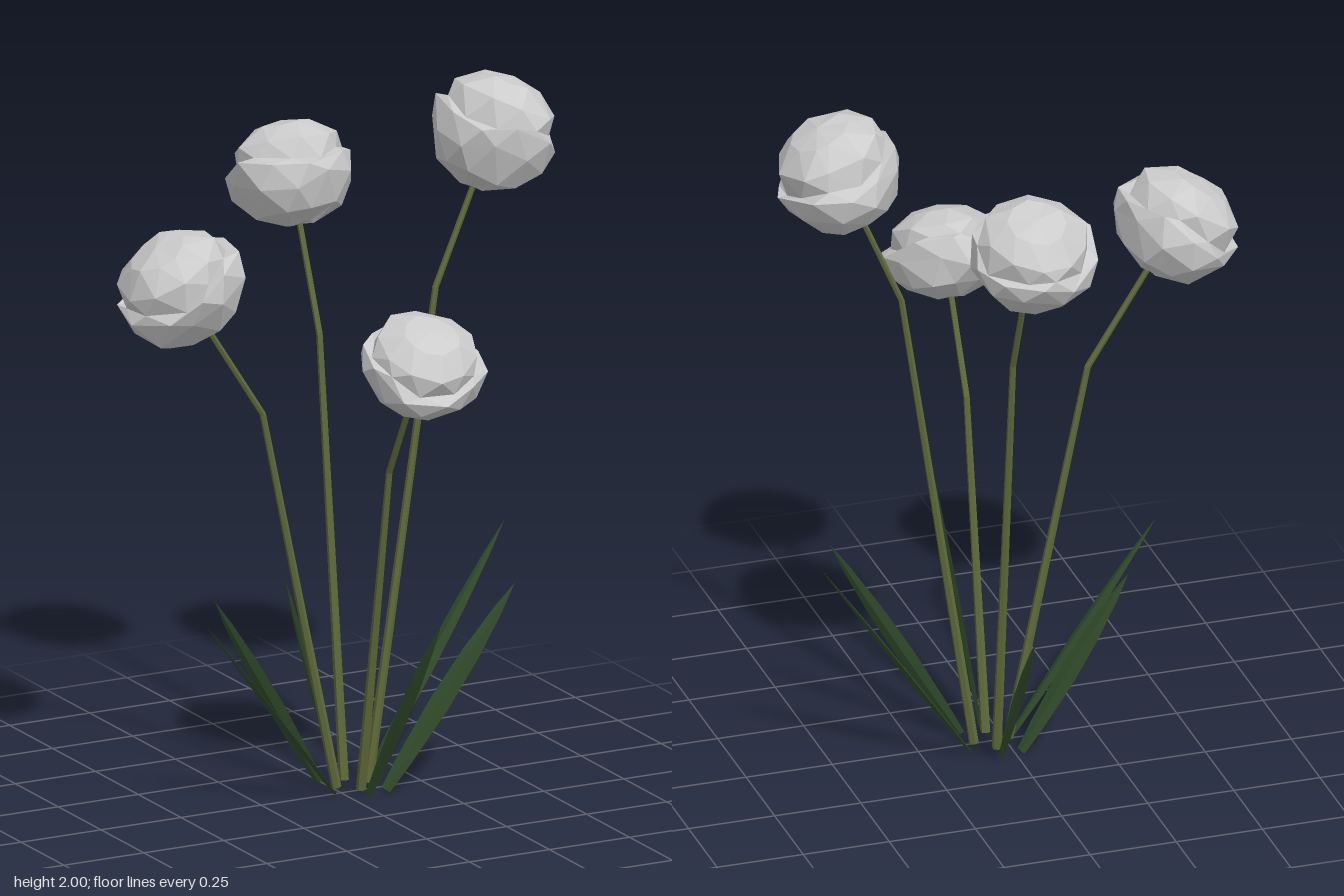
import * as THREE from 'three';

const V = (x, y, z) => new THREE.Vector3(x, y, z);
const material = (color) => new THREE.MeshStandardMaterial({ color, flatShading: true });
const UP = V(0, 1, 0);

function seeded(seed) {
  let s = seed;
  return () => (s = (s * 16807) % 2147483647) / 2147483647 * 2 - 1;
}

// Ball-shaped bloom: stacked rings twisted into a spiral, with an overlapping lip of petals
function bloomGeometry(radius, halfHeight, seed) {
  const SEG = 10, random = seeded(seed);
  const rings = [[0, -0.98], [0.22, -0.97], [0.68, -0.73], [0.96, -0.24], [1.0, 0.16],
    [0.87, 0.22], [0.82, 0.58], [0.46, 0.9], [0, 1]];
  const geo = new THREE.LatheGeometry(rings.map(([r, y]) => new THREE.Vector2(r, y)), SEG);
  const pos = geo.attributes.position, count = rings.length;
  const noise = Array.from({ length: SEG * count }, () => [random(), random(), random()]);
  for (let i = 0; i <= SEG; i++) {
    for (let j = 0; j < count; j++) {
      const [a, b, c] = noise[(i % SEG) * count + j];
      const [r0, y0] = rings[j];
      const angle = (i % SEG) / SEG * Math.PI * 2;
      const phi = angle + j * 0.28 + a * 0.1;
      const lip = j >= 3 && j <= 5 ? 0.13 * Math.sin(angle * 3 + seed) : 0;
      const r = r0 * (1 + b * 0.045) * radius;
      const y = (y0 + (r0 > 0 ? lip + c * 0.04 : 0)) * halfHeight;
      pos.setXYZ(i * count + j, r * Math.sin(phi), y, r * Math.cos(phi));
    }
  }
  geo.computeVertexNormals();
  return geo;
}

// Straight tapered segment between two points
function segment(from, to, r0, r1, mat) {
  const dir = to.clone().sub(from);
  const mesh = new THREE.Mesh(new THREE.CylinderGeometry(r1, r0, dir.length(), 6), mat);
  mesh.position.copy(from).addScaledVector(dir, 0.5);
  mesh.quaternion.setFromUnitVectors(UP, dir.normalize());
  return mesh;
}

// Flat, pointed blade with a four-sided section, its width lying along the hint
function leaf(base, tip, widthHint, mat) {
  const dir = tip.clone().sub(base), length = dir.length();
  dir.normalize();
  const profile = [[0, 0], [0.014, 0], [0.022, 0.15], [0.029, 0.42], [0.025, 0.66], [0.013, 0.87], [0, 1]]
    .map(([r, t]) => new THREE.Vector2(r, t * length));
  const geo = new THREE.LatheGeometry(profile, 4);
  geo.scale(1, 1, 0.25);
  const across = widthHint.clone().addScaledVector(dir, -widthHint.dot(dir)).normalize();
  const thick = across.clone().cross(dir);
  geo.applyMatrix4(new THREE.Matrix4().makeBasis(across, dir, thick).setPosition(base));
  geo.computeVertexNormals();
  const mesh = new THREE.Mesh(geo, mat);
  mesh.name = 'leaf';
  return mesh;
}

export function createModel() {
  const group = new THREE.Group();
  const stemMat = material(0x606a3a), leafMat = material(0x324d2c), bloomMat = material(0xcccccc);
  const cx = 0.045, cz = -0.018;

  // Flowers: outward direction, knee and bloom centre as (distance, height), bloom radii
  const flowers = [
    { name: 'leftFlower', out: [1, 0], knee: [0.26, 1.41], top: [0.44, 1.83], size: [0.182, 0.165] },
    { name: 'rightFlower', out: [-1, 0], knee: [0.28, 1.12], top: [0.535, 1.52], size: [0.187, 0.15] },
    { name: 'frontFlower', out: [0, 1], knee: [0.215, 0.97], top: [0.408, 1.327], size: [0.175, 0.13] },
    { name: 'backFlower', out: [0, -1], knee: [0.192, 1.26], top: [0.36, 1.68], size: [0.178, 0.147] },
  ];
  flowers.forEach(({ name, out, knee, top, size }, i) => {
    const at = ([d, y]) => V(cx + out[0] * d, y, cz + out[1] * d);
    const base = at([0.05, 0.015]), bend = at(knee), head = at(top);
    const flower = new THREE.Group();
    flower.name = name;
    const lower = segment(base, bend, 0.014, 0.009, stemMat);
    const upper = segment(bend, head, 0.009, 0.008, stemMat);
    lower.name = 'lowerStem';
    upper.name = 'upperStem';
    const bloom = new THREE.Mesh(bloomGeometry(size[0], size[1], 11 + i * 37), bloomMat);
    bloom.name = 'bloom';
    bloom.position.copy(head);
    bloom.quaternion.setFromUnitVectors(UP, head.clone().sub(bend).normalize());
    flower.add(lower, upper, bloom);
    group.add(flower);
  });

  // Leaves: base, tip, width direction
  const leaves = new THREE.Group();
  leaves.name = 'leaves';
  [
    [V(-0.03, 0.01, 0.015), V(-0.465, 0.57, 0.08), V(0, 0, 1)],
    [V(-0.015, 0.01, -0.1), V(-0.3, 0.55, -0.18), V(0.6, 0, 0.8)],
    [V(0.12, 0.01, -0.065), V(0.575, 0.675, -0.12), V(0.2, 0, 1)],
    [V(0.11, 0.01, 0.055), V(0.45, 0.59, 0.175), V(0.7, -0.3, 0.6)],
    [V(cx, 0.01, 0.075), V(cx, 0.61, 0.5), V(0, -0.6, 1)],
    [V(cx, 0.01, -0.105), V(cx, 0.5, -0.41), V(0, 0.6, 1)],
  ].forEach(([base, tip, hint]) => leaves.add(leaf(base, tip, hint, leafMat)));
  group.add(leaves);

  return group;
}
